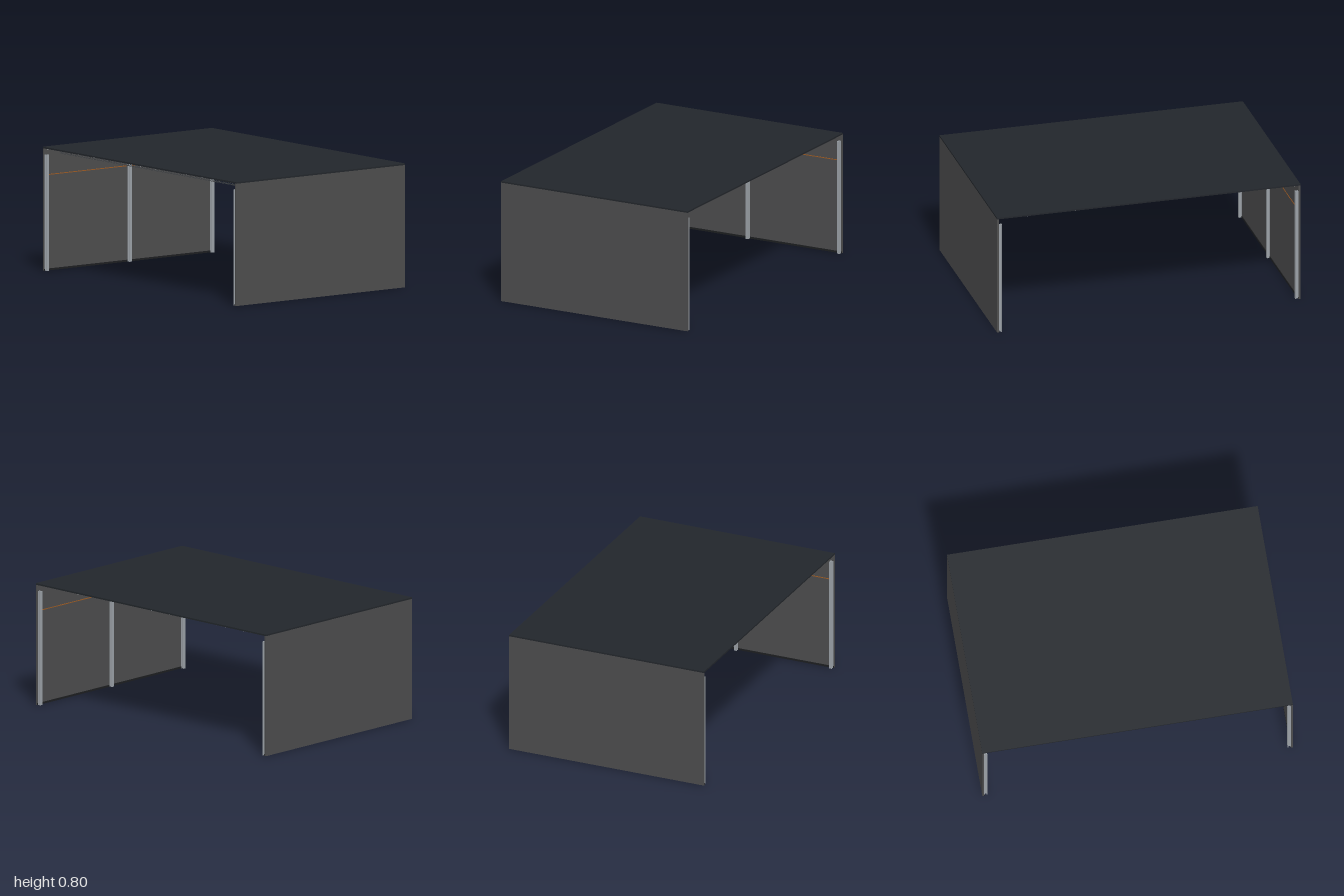
import * as THREE from 'three';

const mat = (color) => new THREE.MeshStandardMaterial({ color });
const roofMat = mat(0x22262b), wallMat = mat(0x4c4c4d), trimMat = mat(0x1c1e20);
const steelMat = mat(0x9aa0a6), trussMat = mat(0x45484b), purlinMat = mat(0xb8bcc0), lampMat = mat(0x9a5a24);

function box(parent, name, material, size, pos) {
  const mesh = new THREE.Mesh(new THREE.BoxGeometry(...size), material);
  mesh.name = name;
  mesh.position.set(...pos);
  parent.add(mesh);
  return mesh;
}

// Steel column with an H section
function column(parent, x, z) {
  const g = new THREE.Group();
  g.name = 'column';
  const h = 0.745;
  for (const s of [-1, 1]) box(g, 'columnFlange', steelMat, [0.004, h, 0.02], [s * 0.008, h / 2, 0]);
  box(g, 'columnWeb', steelMat, [0.012, h, 0.004], [0, h / 2, 0]);
  g.position.set(x, 0, z);
  parent.add(g);
}

// Box truss spanning the width: four chords with zigzag lacing on both faces
function truss(parent, z) {
  const g = new THREE.Group();
  g.name = 'roofTruss';
  const span = 1.97, low = 0.742, high = 0.759, t = 0.002, bays = 80;
  const step = span / bays, rise = high - low;
  const lacing = new THREE.BoxGeometry(Math.hypot(step, rise), 0.0015, 0.0015);
  const braces = new THREE.InstancedMesh(lacing, trussMat, 0);
  braces.dispose();
  for (const dz of [-0.009, 0.009]) {
    for (const y of [low, high]) box(g, 'trussChord', trussMat, [span, t, t], [0, y, dz]);
    for (let i = 0; i < bays; i++) {
      const brace = new THREE.Mesh(lacing, trussMat);
      brace.name = 'trussBrace';
      brace.position.set(-span / 2 + (i + 0.5) * step, (low + high) / 2, dz);
      brace.rotation.z = (i % 2 ? -1 : 1) * Math.atan2(rise, step);
      g.add(brace);
    }
  }
  // Cross ties between the two faces
  for (let i = 0; i <= bays; i += 4) {
    for (const y of [low, high]) box(g, 'trussTie', trussMat, [t, t, 0.018], [-span / 2 + i * step, y, 0]);
  }
  // Hangers to the roof at both ends
  for (const s of [-1, 1]) box(g, 'trussHanger', trussMat, [0.004, 0.044, 0.02], [s * 0.984, 0.764, 0]);
  g.position.z = z;
  parent.add(g);
}

export function createModel() {
  const model = new THREE.Group();
  model.name = 'canopyHall';
  const depth = 1.36;

  // Roof slab
  box(model, 'roof', roofMat, [2, 0.01, depth], [0, 0.79, 0]);

  // Side walls with base strip, rail and columns
  for (const s of [-1, 1]) {
    const side = new THREE.Group();
    side.name = s > 0 ? 'leftSide' : 'rightSide';
    box(side, 'wall', wallMat, [0.012, 0.785, depth], [s * 0.994, 0.3925, 0]);
    box(side, 'baseStrip', trimMat, [0.004, 0.012, depth], [s * 0.986, 0.006, 0]);
    box(side, 'wallRail', lampMat, [0.003, 0.005, depth - 0.02], [s * 0.9865, 0.615, 0]);
    for (const z of [-0.665, 0, 0.665]) column(side, s * 0.977, z);
    model.add(side);
  }

  // Purlins running front to back under the roof
  for (let i = -6; i <= 6; i++) {
    box(model, 'purlin', purlinMat, [0.004, 0.003, depth - 0.01], [i * 0.16, 0.7835, 0]);
  }

  // Trusses, each with a row of lamps above it
  for (const z of [-0.54, -0.18, 0.18, 0.54]) {
    truss(model, z);
    for (let i = 0; i < 6; i++) {
      box(model, 'lamp', lampMat, [0.05, 0.005, 0.014], [-0.8 + i * 0.32, 0.7795, z + 0.02]);
    }
  }
  return model;
}
